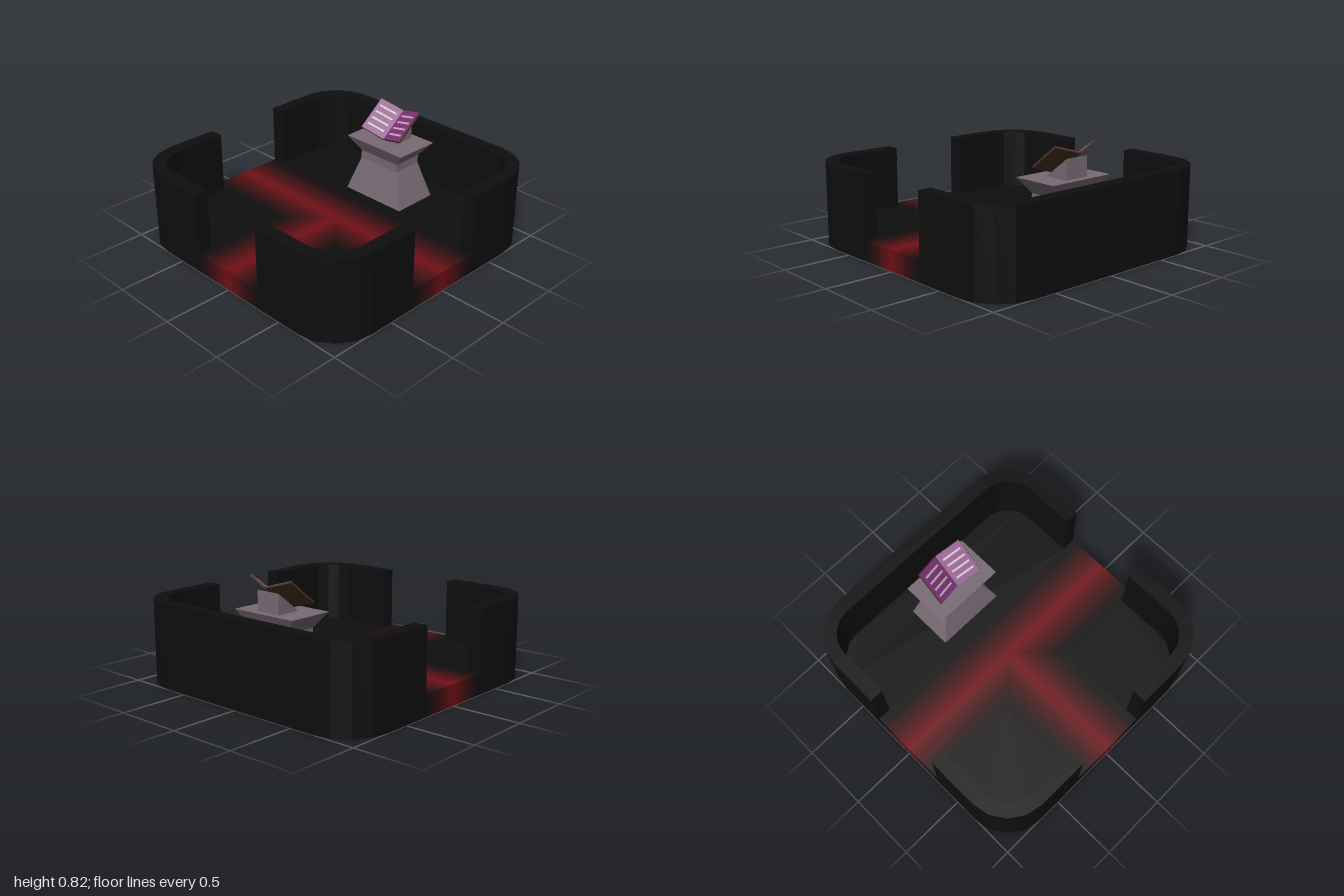
import * as THREE from 'three';

const FLOOR = 0.15, TOP = 0.6, GAP = 0.3, STEPS = 14;
const mat = (color) => new THREE.MeshStandardMaterial({ color, flatShading: true, side: THREE.DoubleSide });

function add(parent, name, geometry, material) {
  const m = new THREE.Mesh(geometry, material);
  m.name = name;
  parent.add(m);
  return m;
}

// Flat horizontal polygon from [x, z] points
function sheet(points, y) {
  const g = new THREE.ShapeGeometry(new THREE.Shape(points.map(([x, z]) => new THREE.Vector2(x, -z))));
  return g.rotateX(-Math.PI / 2).translate(0, y, 0);
}

// Surface through rows of [x, y, z] points with equal counts
function loft(rows) {
  const n = rows[0].length, index = [];
  for (let r = 0; r < rows.length - 1; r++) {
    for (let i = 0; i < n - 1; i++) {
      const a = r * n + i, b = a + 1, c = a + n, d = c + 1;
      index.push(a, b, c, b, d, c);
    }
  }
  const g = new THREE.BufferGeometry();
  g.setAttribute('position', new THREE.Float32BufferAttribute(rows.flat(2), 3));
  g.setIndex(index);
  g.computeVertexNormals();
  return g;
}

// Four-segment corner arc; sx, sz choose the corner, running from the side to the front or back
function corner(sx, sz, radius) {
  return Array.from({ length: 5 }, (_, i) => {
    const a = (i * Math.PI) / 8;
    return [sx * (0.68 + radius * Math.cos(a)), sz * (0.68 + radius * Math.sin(a))];
  });
}

const backPath = (side, r) => [[side, -GAP], ...corner(1, -1, r), ...corner(-1, -1, r).reverse(), [-side, -GAP]];
const frontPath = (s, side, r) => [[s * side, GAP], ...corner(s, 1, r), [s * GAP, side]];

// Hollow wall with a closed top and closed ends
function addWall(parent, name, outer, inner, material) {
  const wall = new THREE.Group();
  wall.name = name;
  const at = (path, y) => path.map(([x, z]) => [x, y, z]);
  add(wall, 'wallOuterFace', loft([at(outer, 0), at(outer, TOP)]), material);
  add(wall, 'wallTop', loft([at(outer, TOP), at(inner, TOP)]), material);
  add(wall, 'wallInnerFace', loft([at(inner, TOP), at(inner, FLOOR)]), material);
  for (const i of [0, outer.length - 1]) {
    const ends = [outer[i], inner[i]];
    add(wall, 'wallEnd', loft([at(ends, FLOOR), at(ends, TOP)]), material);
  }
  parent.add(wall);
}

// T-shaped path glowing brighter towards its centre line, with matching door sills
function addPath(parent) {
  const path = new THREE.Group();
  path.name = 'glowingPath';
  const mix = (a, b, t) => (a + (b - a) * t) / 255;
  for (let k = 0; k < STEPS; k++) {
    const w1 = GAP * (1 - k / STEPS), w2 = GAP * (1 - (k + 1) / STEPS);
    const t = Math.min(1, Math.max(0, (k - 0.5) / (STEPS - 1.5)));
    const m = mat(0x000000);
    m.color.setRGB(mix(14, 112, t), mix(14, 16, t), mix(14, 22, t), THREE.SRGBColorSpace);
    add(path, 'pathBand', sheet([[-1, -w1], [1, -w1], [1, -w2], [-1, -w2]], FLOOR), m);
    for (const s of [-1, 1]) {
      const band = [[1, w2], [1, w1], [w1, w1], [w1, 1], [w2, 1], [w2, w2]];
      add(path, 'pathBand', sheet(band.map(([x, z]) => [s * x, z]), FLOOR), m);
      const sill = (p, q) => add(path, 'doorSill',
        loft([0, FLOOR].map((y) => [[p[0], y, p[1]], [q[0], y, q[1]]])), m);
      sill([s * w1, 1], [s * w2, 1]);
      sill([1, s * w1], [1, s * w2]);
      sill([-1, s * w1], [-1, s * w2]);
    }
  }
  parent.add(path);
}

function addLectern(parent, material) {
  // Pedestal with a narrow waist
  const profile = [[0, FLOOR], [0.265, FLOOR], [0.175, 0.415], [0.175, 0.475], [0.265, 0.585], [0, 0.585]];
  const g = new THREE.LatheGeometry(profile.map(([r, y]) => new THREE.Vector2(r * Math.SQRT2, y)), 4);
  g.rotateY(Math.PI / 4).scale(1, 1, 0.66).translate(0, 0, -0.56);
  add(parent, 'pedestal', g, material);

  // Wedge that props the book up
  const wedge = new THREE.Shape([[0.685, 0.58], [0.685, 0.73], [0.51, 0.593], [0.51, 0.58]]
    .map(([x, y]) => new THREE.Vector2(x, y)));
  const wg = new THREE.ExtrudeGeometry(wedge, { depth: 0.19, bevelEnabled: false });
  wg.translate(0, 0, -0.095).rotateY(Math.PI / 2);
  add(parent, 'bookRest', wg, material);
}

// Open book: two tilted leaves with a cover, a page and lines of writing
function addBook(parent) {
  const book = new THREE.Group();
  book.name = 'openBook';
  book.position.set(-0.005, 0.686, -0.6);
  book.rotation.x = 0.665;
  const cover = mat(0x453020), page = mat(0x7c3275), line = mat(0xbfaabb);
  for (const s of [-1, 1]) {
    const leaf = new THREE.Group();
    leaf.name = s > 0 ? 'leftLeaf' : 'rightLeaf';
    leaf.rotation.z = s * 0.36;
    add(leaf, 'cover', new THREE.BoxGeometry(0.197, 0.013, 0.267).translate(s * 0.0985, -0.0105, 0), cover);
    add(leaf, 'page', new THREE.BoxGeometry(0.195, 0.005, 0.264).translate(s * 0.0975, -0.002, 0), page);
    for (let i = 0; i < 4; i++) {
      add(leaf, 'writtenLine',
        new THREE.BoxGeometry(0.145, 0.003, 0.016).translate(s * 0.1, 0.001, -0.08 + i * 0.054), line);
    }
    book.add(leaf);
  }
  parent.add(book);
}

export function createModel() {
  const model = new THREE.Group();
  model.name = 'lecternRoom';
  const dark = mat(0x0e0e0e);

  // Floor outside the path
  add(model, 'backFloor', sheet(backPath(0.9, 0.22), FLOOR), dark);
  for (const s of [-1, 1]) {
    add(model, 'frontFloor', sheet([[s * GAP, GAP], ...frontPath(s, 0.9, 0.22)], FLOOR), dark);
    addWall(model, s > 0 ? 'frontLeftWall' : 'frontRightWall',
      frontPath(s, 1, 0.32), frontPath(s, 0.9, 0.22), dark);
  }
  addWall(model, 'backWall', backPath(1, 0.32), backPath(0.9, 0.22), dark);
  addPath(model);

  addLectern(model, mat(0x786a74));
  addBook(model);
  return model;
}
